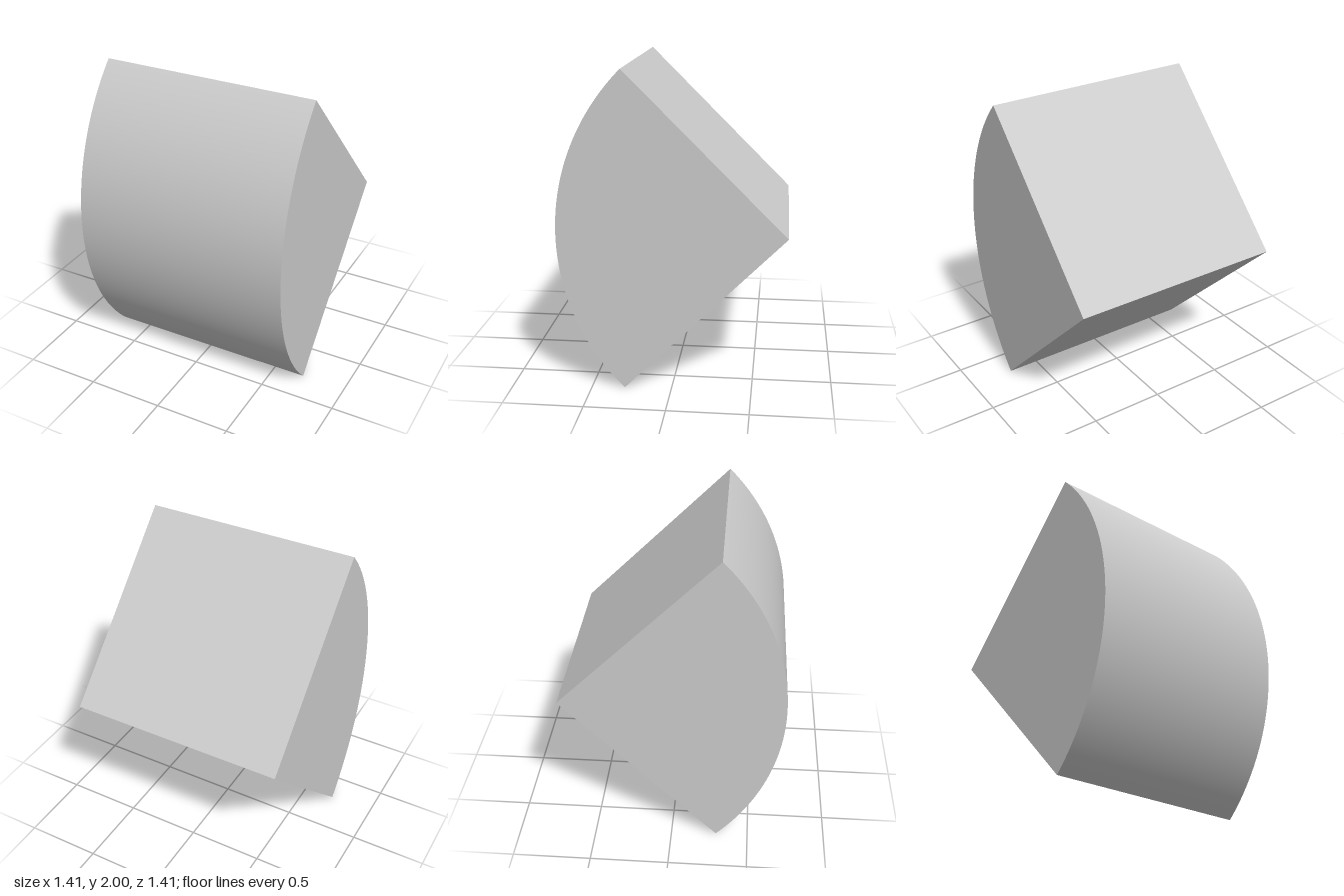
import * as THREE from 'three';
import { toCreasedNormals } from 'three/addons/utils/BufferGeometryUtils.js';

export function createModel() {
  const group = new THREE.Group();
  const radius = Math.SQRT2;
  const width = Math.SQRT2;
  const apex = -radius / 2;

  // Quarter-circle sector, drawn with z across and y up, apex at the back
  const sector = new THREE.Shape();
  sector.moveTo(apex, 1);
  sector.lineTo(apex + 1, 0);
  sector.absarc(apex, 1, radius, -Math.PI / 4, Math.PI / 4, false);
  sector.lineTo(apex, 1);

  // Extrude across the width and turn the curved side to face +z
  const extruded = new THREE.ExtrudeGeometry(sector, {
    depth: width, bevelEnabled: false, curveSegments: 64,
  });
  extruded.translate(0, 0, -width / 2).rotateY(-Math.PI / 2);

  const wedge = new THREE.Mesh(
    toCreasedNormals(extruded, 0.4),
    new THREE.MeshStandardMaterial({ color: 0xcccccc }),
  );
  wedge.name = 'quarterCylinder';
  group.add(wedge);
  return group;
}
